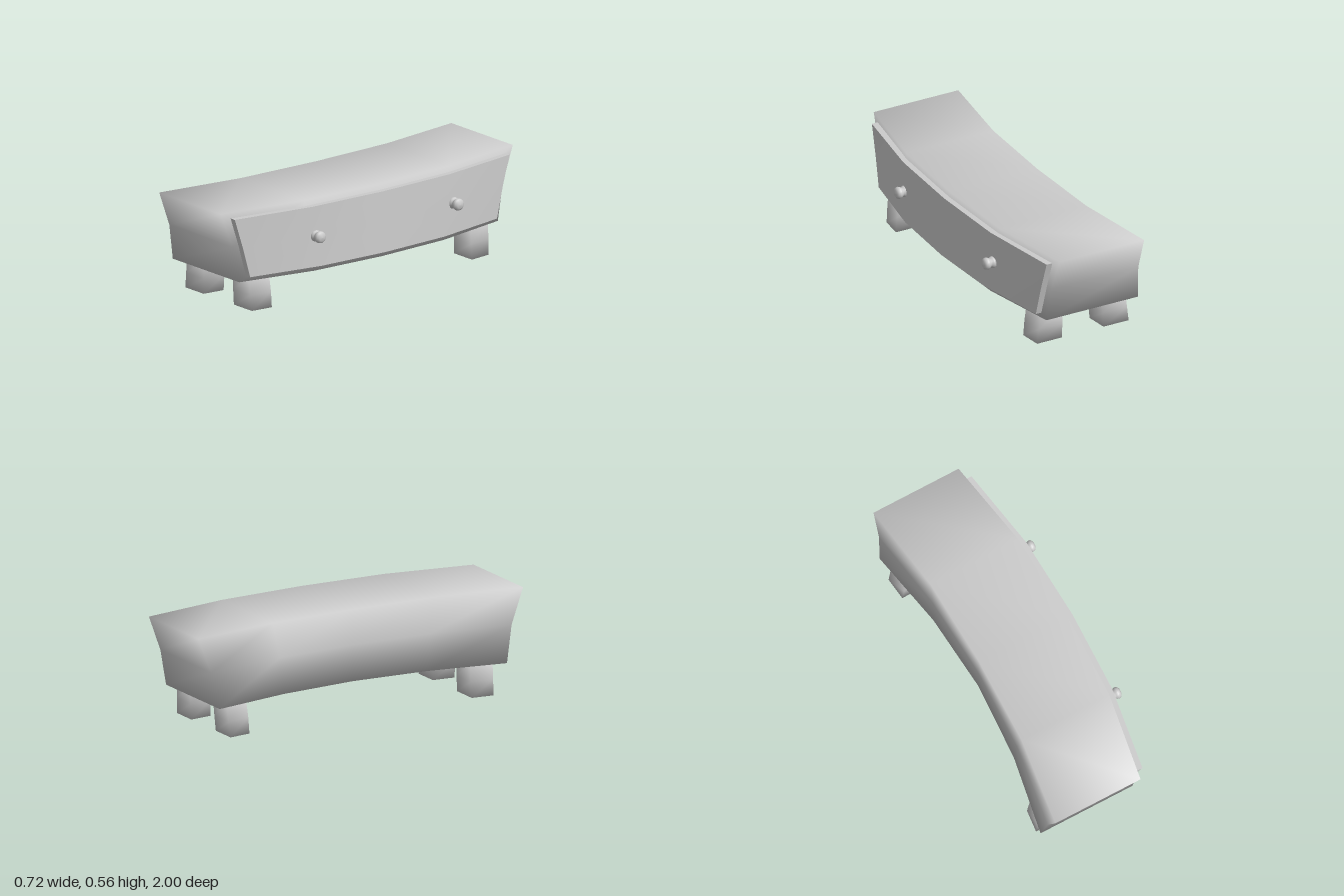
import * as THREE from 'three';
import { toCreasedNormals } from 'three/addons/utils/BufferGeometryUtils.js';

const material = new THREE.MeshStandardMaterial({ color: 0xcccccc });

// Closed solid from rows (bottom to top). Each row has a height y and matching
// front/back edges of [x, z] points, both running from +z to -z.
function loft(rows) {
  const s = rows[0].front.length, n = 2 * s;
  const pos = [], index = [];
  for (const { y, front, back } of rows)
    for (const [x, z] of [...front, ...[...back].reverse()]) pos.push(x, y, z);
  const quad = (a, b, c, d) => index.push(a, b, c, a, c, d);
  for (let r = 0; r < rows.length - 1; r++)
    for (let i = 0; i < n; i++) {
      const j = (i + 1) % n, a = r * n, b = a + n;
      quad(a + i, a + j, b + j, b + i);
    }
  const top = (rows.length - 1) * n;
  for (let i = 0; i < s - 1; i++) {
    quad(top + i, top + i + 1, top + n - 2 - i, top + n - 1 - i);
    quad(n - 1 - i, n - 2 - i, i + 1, i);
  }
  const g = new THREE.BufferGeometry();
  g.setAttribute('position', new THREE.Float32BufferAttribute(pos, 3));
  g.setIndex(index);
  g.computeVertexNormals();
  return g;
}

// Bowed edge, mirrored in z: x given at the end, halfway and the middle
const bow = (zEnd, [end, half, mid]) =>
  [[end, zEnd], [half, zEnd / 2], [mid, 0], [half, -zEnd / 2], [end, -zEnd]];
const bowedRow = (y, zEnd, front, back) => ({ y, front: bow(zEnd, front), back: bow(zEnd, back) });

export function createModel() {
  const model = new THREE.Group();
  const add = (name, geometry) => {
    const mesh = new THREE.Mesh(geometry, material);
    mesh.name = name;
    model.add(mesh);
    return mesh;
  };

  // Curved body, flaring towards the top at both ends
  add('body', loft([
    bowedRow(0.17, 0.885, [0.195, 0.283, 0.304], [-0.362, -0.28, -0.25]),
    bowedRow(0.37, 0.925, [0.188, 0.273, 0.293], [-0.342, -0.272, -0.25]),
    bowedRow(0.565, 1, [0.18, 0.265, 0.285], [-0.335, -0.265, -0.25]),
  ]));

  // Drawer front, following the bowed side
  const panelRow = (y, zEnd, front) => bowedRow(y, zEnd, front, front.map((x) => x - 0.035));
  add('drawerFront', toCreasedNormals(loft([
    panelRow(0.2, 0.845, [0.237, 0.315, 0.335]),
    panelRow(0.37, 0.89, [0.231, 0.308, 0.327]),
    panelRow(0.533, 0.94, [0.225, 0.3, 0.318]),
  ]), 0.7));

  // Turned knobs
  const profile = [[0, 0], [0.03, 0], [0.032, 0.008], [0.03, 0.016], [0.025, 0.022], [0.025, 0.028],
    [0.03, 0.034], [0.033, 0.044], [0.03, 0.056], [0.018, 0.064], [0, 0.066]];
  const knob = new THREE.LatheGeometry(profile.map(([r, h]) => new THREE.Vector2(r, h)), 20);
  knob.rotateZ(-Math.PI / 2);
  for (const z of [0.45, -0.495]) add('knob', knob).position.set(0.295, 0.37, z);

  // Splayed legs: inner ends are shifted along with the bow of the body
  const legRow = (y, side, x0, x1, shift, zIn, zOut) => {
    const edge = (x) => {
      const pts = [[x, zOut * side], [x + shift, zIn * side]];
      return side > 0 ? pts : pts.reverse();
    };
    return { y, front: edge(x1), back: edge(x0) };
  };
  for (const side of [1, -1]) {
    add('frontLeg', loft([
      legRow(0, side, 0.058, 0.209, 0.014, 0.685, 0.81),
      legRow(0.085, side, 0.058, 0.202, 0.014, 0.685, 0.815),
      legRow(0.18, side, 0.058, 0.192, 0.014, 0.69, 0.82),
    ]));
    add('backLeg', loft([
      legRow(0, side, -0.348, -0.195, 0.014, 0.685, 0.81),
      legRow(0.085, side, -0.336, -0.188, 0.014, 0.685, 0.815),
      legRow(0.18, side, -0.321, -0.182, 0.014, 0.69, 0.82),
    ]));
  }
  return model;
}
